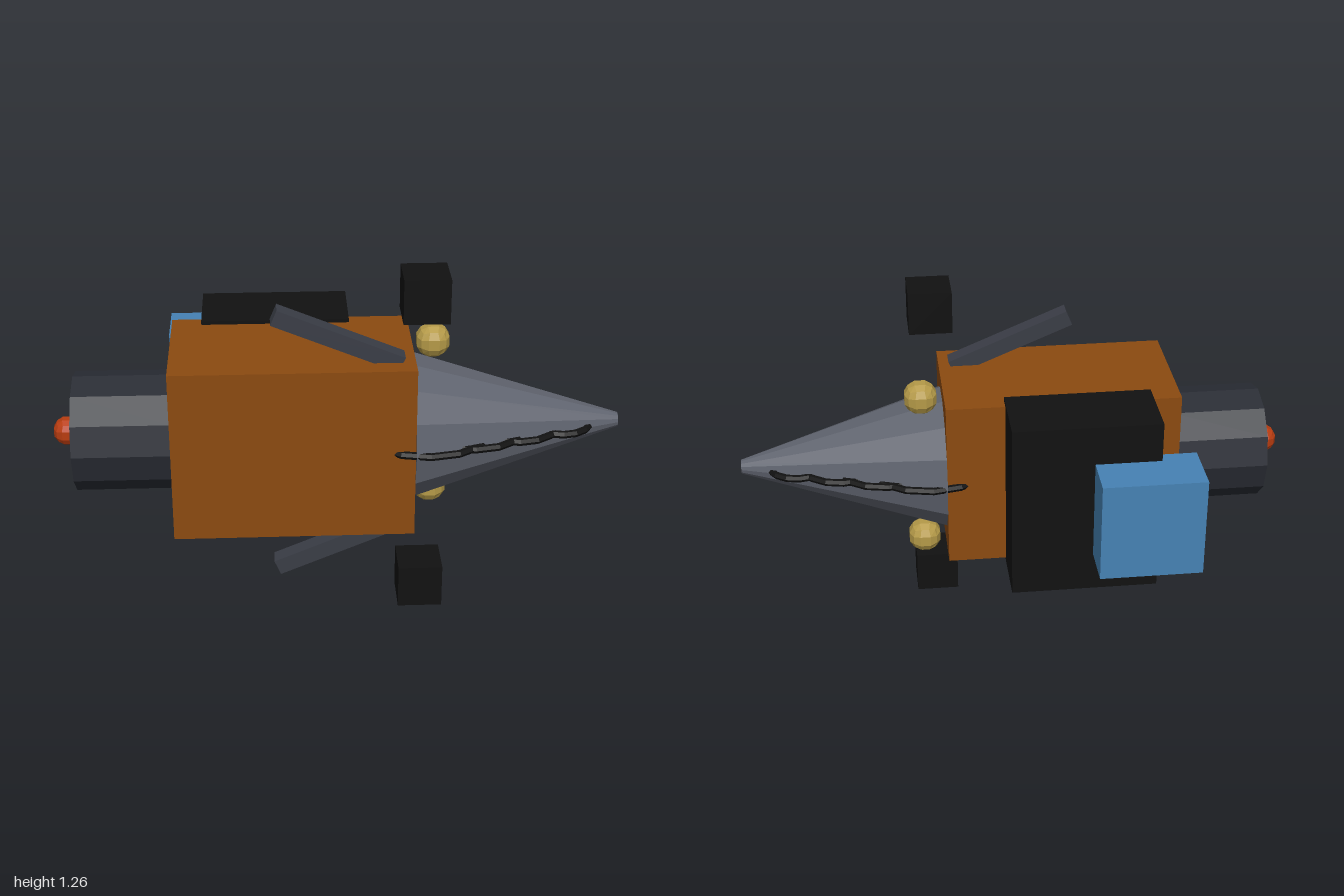
import * as THREE from 'three';

const AXIS_Y = 0.635, AXIS_Z = 0.165;

const mat = (color) => new THREE.MeshStandardMaterial({ color, flatShading: true });
const orange = mat(0x8b4a10), dark = mat(0x2a2d35), black = mat(0x111111), steel = mat(0x5f636e);
const blue = mat(0x4682b4), gold = mat(0xb59a48), red = mat(0xb83c10), finGrey = mat(0x3a3d46);

export function createModel() {
  const model = new THREE.Group();
  model.name = 'drillMachine';

  const add = (name, geometry, material, x, y, z) => {
    const mesh = new THREE.Mesh(geometry, material);
    mesh.name = name;
    mesh.position.set(x, y, z);
    model.add(mesh);
    return mesh;
  };

  // Box given by its lower and upper corners
  const addBox = (name, material, [x0, y0, z0], [x1, y1, z1]) =>
    add(name, new THREE.BoxGeometry(x1 - x0, y1 - y0, z1 - z0), material,
      (x0 + x1) / 2, (y0 + y1) / 2, (z0 + z1) / 2);

  // Faceted ball: a gridded cube pushed out to a sphere
  const ball = (radius) => {
    const geometry = new THREE.BoxGeometry(1, 1, 1, 3, 3, 3);
    const p = geometry.attributes.position;
    const v = new THREE.Vector3();
    for (let i = 0; i < p.count; i++) {
      v.fromBufferAttribute(p, i).setLength(radius);
      p.setXYZ(i, v.x, v.y, v.z);
    }
    geometry.computeVertexNormals();
    return geometry;
  };

  // Hull, rear pack and cabin window block
  addBox('body', orange, [-0.58, 0.32, -0.07], [0.26, 0.95, 0.4]);
  addBox('sidePack', black, [-0.475, 0.305, -0.28], [0.05, 0.963, -0.02]);
  addBox('blueBlock', blue, [-0.605, 0.45, -0.44], [-0.24, 0.818, -0.235]);

  // Drill cone and engine barrel along x
  const cone = new THREE.CylinderGeometry(0.026, 0.262, 0.74, 14).rotateZ(-Math.PI / 2);
  add('drillCone', cone, steel, 0.63, AXIS_Y, AXIS_Z);
  const barrel = new THREE.CylinderGeometry(0.21, 0.21, 0.34, 12).rotateZ(-Math.PI / 2);
  add('engine', barrel, dark, -0.75, AXIS_Y, AXIS_Z);
  add('tailLight', ball(0.052), red, -0.95, AXIS_Y, AXIS_Z);

  // Flat rings laid through the cone, shrinking towards the tip
  for (let i = 0; i < 4; i++) {
    const ring = new THREE.TorusGeometry(0.257 - i * 0.048, 0.0135, 6, 16).rotateX(Math.PI / 2);
    add('drillRing', ring, black, 0.31 + i * 0.16, AXIS_Y, AXIS_Z);
  }

  // Parts mirrored above and below the axis
  for (const s of [1, -1]) {
    add('lamp', ball(0.063), gold, 0.34, AXIS_Y + s * 0.29, 0.087);
    add('endBlock', new THREE.BoxGeometry(0.157, 0.157, 0.157), black, 0.288, AXIS_Y + s * 0.552, 0.297);
    const fin = add('fin', new THREE.BoxGeometry(0.47, 0.058, 0.062), finGrey, -0.004, AXIS_Y + s * 0.396, 0.299);
    fin.rotation.z = -s * 0.395;
  }

  return model;
}
